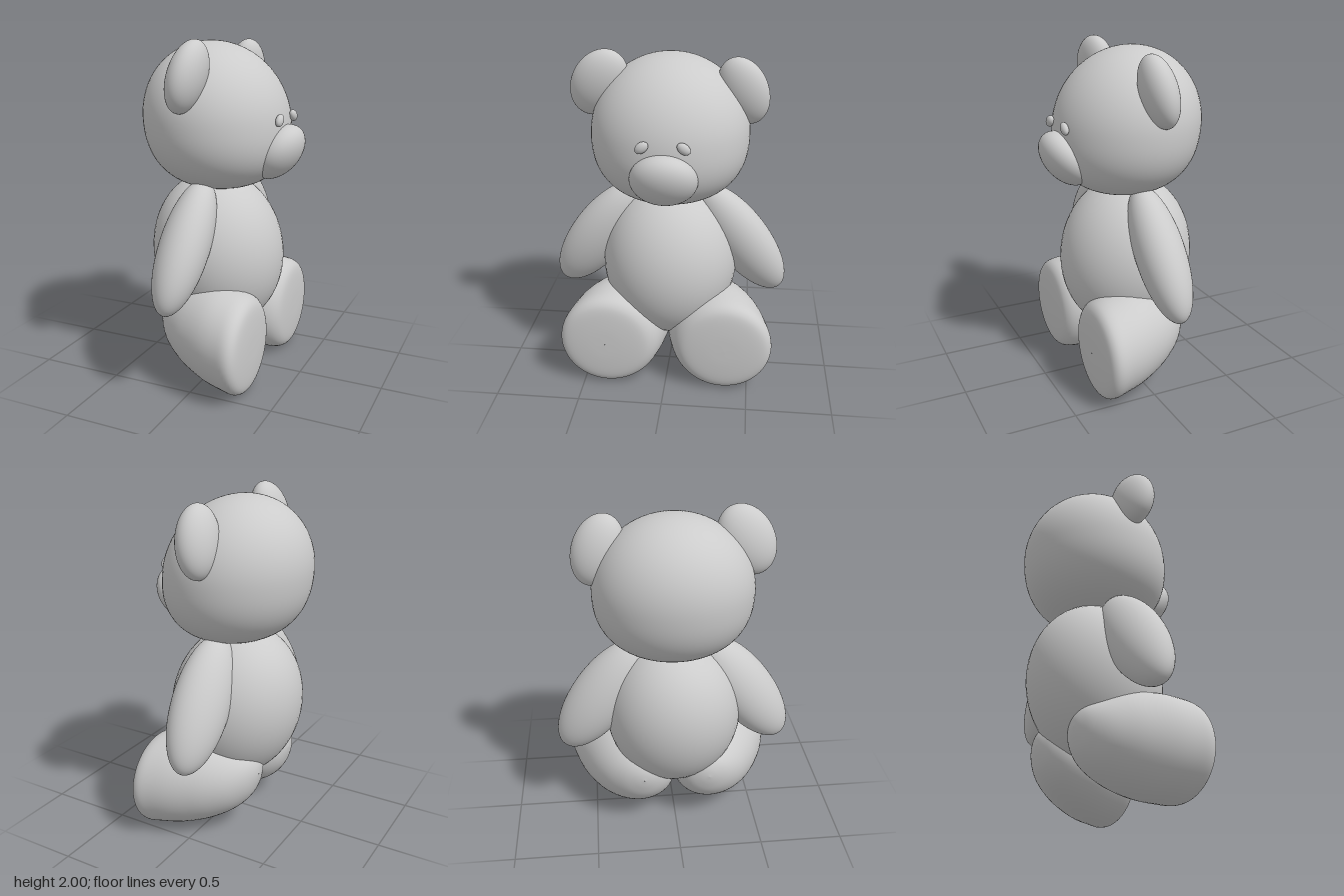
import * as THREE from 'three';
import { mergeVertices } from 'three/addons/utils/BufferGeometryUtils.js';

const material = new THREE.MeshStandardMaterial({ color: 0xcccccc, roughness: 0.8 });

// Matrix taking a unit sphere to an ellipsoid with the given half extents,
// whose topmost point is shifted by leanX and leanZ.
function ellipsoidMatrix([cx, cy, cz], [rx, ry, rz], leanX = 0, leanZ = 0) {
  const ax = Math.sqrt(rx * rx - leanX * leanX);
  const zx = (-leanX * leanZ) / ax; // keeps x and z uncorrelated
  const az = Math.sqrt(rz * rz - leanZ * leanZ - zx * zx);
  return new THREE.Matrix4().set(
    ax, leanX, 0, cx,
    0, ry, 0, cy,
    zx, leanZ, az, cz,
    0, 0, 0, 1
  );
}

function ellipsoid(name, center, radii, leanX, leanZ) {
  const geometry = new THREE.SphereGeometry(1, 48, 32);
  geometry.applyMatrix4(ellipsoidMatrix(center, radii, leanX, leanZ));
  const mesh = new THREE.Mesh(geometry, material);
  mesh.name = name;
  return mesh;
}

// Head: ellipsoid with a fuller, flatter lower half
function buildHead() {
  let geometry = new THREE.SphereGeometry(1, 64, 48);
  geometry.deleteAttribute('uv');
  geometry.deleteAttribute('normal');
  geometry = mergeVertices(geometry);
  const p = geometry.attributes.position;
  for (let i = 0; i < p.count; i++) {
    const y = p.getY(i);
    if (y > 0) p.setY(i, y * 1.12);
    else if (y > -0.9999) {
      const f = Math.pow(1 - Math.pow(-y, 2.4), 1 / 2.4) / Math.sqrt(1 - y * y);
      p.setX(i, p.getX(i) * f);
      p.setZ(i, p.getZ(i) * f);
    }
  }
  geometry.applyMatrix4(ellipsoidMatrix([-0.05, 1.53, 0], [0.43, 0.4, 0.462], -0.035));
  geometry.computeVertexNormals();
  const mesh = new THREE.Mesh(geometry, material);
  mesh.name = 'head';
  return mesh;
}

// Leg: round sections lofted from the rounded hip to the flat sole
function buildLeg(name, side) {
  // x, centre y, centre z, radius y, radius z
  const sections = [
    [-0.305, 0.38, 0.2, 0.001, 0.001],
    [-0.295, 0.375, 0.2, 0.06, 0.06],
    [-0.265, 0.36, 0.205, 0.125, 0.13],
    [-0.2, 0.34, 0.22, 0.185, 0.2],
    [-0.1, 0.33, 0.245, 0.243, 0.255],
    [0, 0.322, 0.27, 0.278, 0.285],
    [0.1, 0.313, 0.298, 0.295, 0.3],
    [0.2, 0.302, 0.325, 0.294, 0.302],
    [0.265, 0.292, 0.345, 0.287, 0.296],
    [0.305, 0.288, 0.355, 0.264, 0.27],
    [0.326, 0.288, 0.358, 0.215, 0.22],
    [0.336, 0.29, 0.36, 0.11, 0.115],
    [0.338, 0.29, 0.36, 0.001, 0.001],
  ];
  const spine = new THREE.CatmullRomCurve3(
    sections.map((s) => new THREE.Vector3(s[0], s[1], s[2])), false, 'catmullrom');
  const radii = new THREE.CatmullRomCurve3(
    sections.map((s) => new THREE.Vector3(s[3], s[4], 0)), false, 'catmullrom');
  const rings = 48, around = 48;
  const positions = [], index = [];
  for (let i = 0; i <= rings; i++) {
    const c = spine.getPoint(i / rings), r = radii.getPoint(i / rings);
    for (let j = 0; j < around; j++) {
      const a = (j / around) * Math.PI * 2;
      positions.push(c.x, c.y + r.x * Math.cos(a), side * (c.z + r.y * Math.sin(a)));
      if (i === rings) continue;
      const k = (j + 1) % around;
      const p = i * around + j, q = i * around + k, s = p + around, t = q + around;
      if (side > 0) index.push(p, q, s, q, t, s);
      else index.push(p, s, q, q, s, t);
    }
  }
  const geometry = new THREE.BufferGeometry();
  geometry.setAttribute('position', new THREE.Float32BufferAttribute(positions, 3));
  geometry.setIndex(index);
  geometry.computeVertexNormals();
  const mesh = new THREE.Mesh(geometry, material);
  mesh.name = name;
  return mesh;
}

export function createModel() {
  const model = new THREE.Group();
  model.name = 'teddyBear';

  // Body, head and muzzle; the face looks along +x
  model.add(ellipsoid('torso', [-0.045, 0.73, 0], [0.396, 0.48, 0.41], -0.03, 0));
  model.add(buildHead());
  model.add(ellipsoid('muzzle', [0.335, 1.36, 0], [0.145, 0.16, 0.19], 0.055, 0));

  // Ears, the one at -z set slightly lower
  model.add(ellipsoid('earPositiveZ', [-0.04, 1.805, 0.408], [0.106, 0.195, 0.17], 0.025, -0.04));
  model.add(ellipsoid('earNegativeZ', [-0.04, 1.775, -0.415], [0.106, 0.195, 0.15], 0.025, 0.035));

  // Paired eyes, arms and legs
  for (const side of [1, -1]) {
    const end = side > 0 ? 'PositiveZ' : 'NegativeZ';
    model.add(ellipsoid('eye' + end, [0.378, 1.557, side * 0.113], [0.022, 0.034, 0.037], 0, side * -0.012));
    model.add(ellipsoid('arm' + end, [-0.057, 0.865, side * 0.43], [0.152, 0.345, 0.28], 0.02, side * -0.19));
    model.add(buildLeg('leg' + end, side));
  }
  return model;
}
